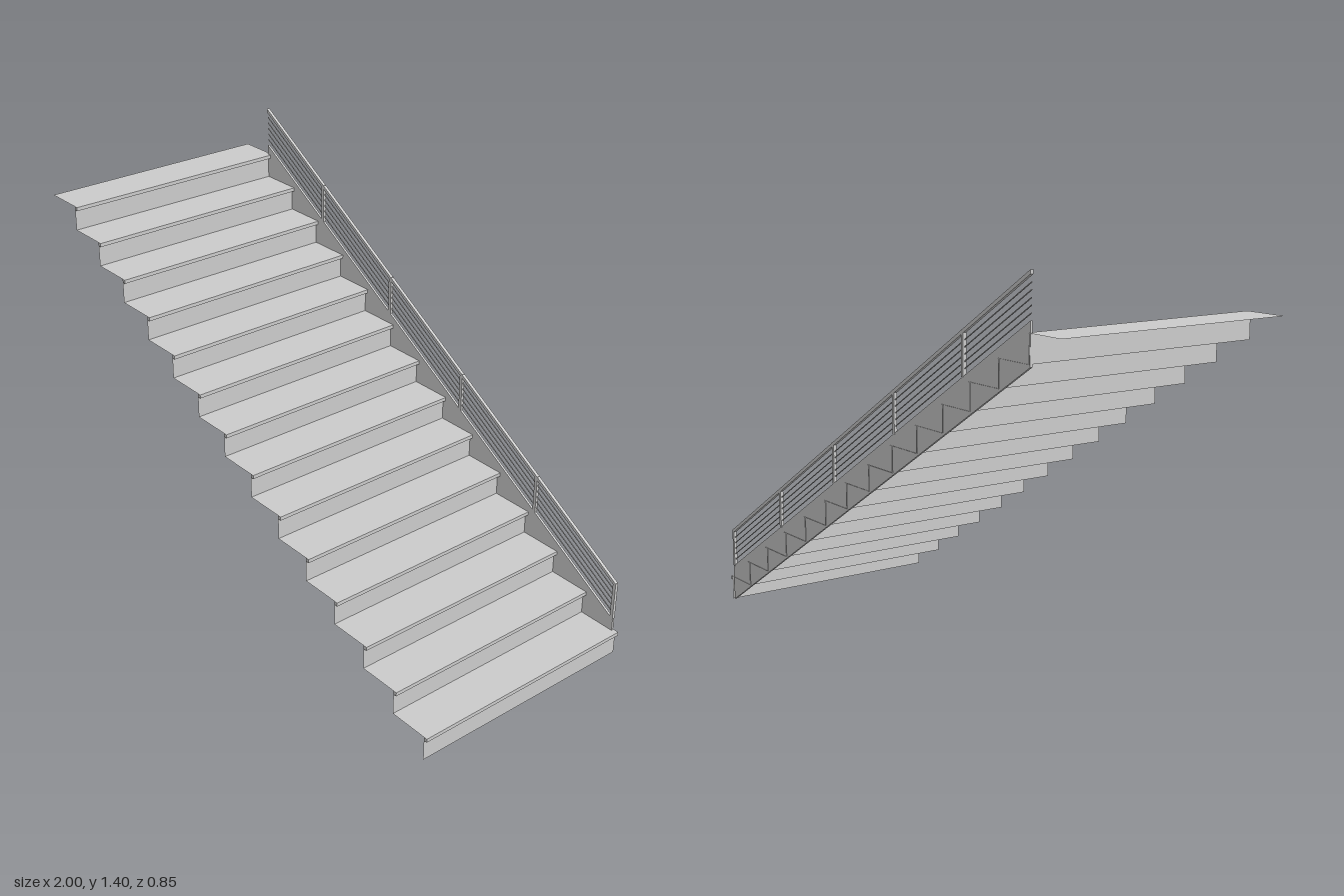
import * as THREE from 'three';

const STEPS = 14, RUN = 0.142, RISE = 1.227 / 14, NOSE = 0.013, HALF = 0.425;
const X0 = -0.861, X1 = 0.979;                 // ends of stringer and railing
const SLOPE = -1.131 / (X1 - X0);
const lineY = (x, offset) => (x - X1) * SLOPE + offset;
const RAIL_Z = -0.419;

export function createModel() {
  const group = new THREE.Group();
  const mat = new THREE.MeshStandardMaterial({ color: 0xcccccc });
  const sheetMat = new THREE.MeshStandardMaterial({ color: 0xcccccc, side: THREE.DoubleSide });

  function add(name, geometry, material = mat) {
    const mesh = new THREE.Mesh(geometry, material);
    mesh.name = name;
    group.add(mesh);
    return mesh;
  }
  function box(name, w, h, d, x, y, z) {
    const mesh = add(name, new THREE.BoxGeometry(w, h, d));
    mesh.position.set(x, y, z);
    return mesh;
  }

  // Slanted bar with vertical ends, offset and height measured vertically
  function slantedBar(name, offset, height, depth) {
    const shape = new THREE.Shape([
      new THREE.Vector2(X0, lineY(X0, offset)),
      new THREE.Vector2(X1, lineY(X1, offset)),
      new THREE.Vector2(X1, lineY(X1, offset + height)),
      new THREE.Vector2(X0, lineY(X0, offset + height)),
    ]);
    const geo = new THREE.ExtrudeGeometry(shape, { depth, bevelEnabled: false });
    geo.translate(0, 0, RAIL_Z - depth / 2);
    return add(name, geo);
  }

  // Thin folded steps: riser and tread sheets with a small nosing on each edge
  for (let i = 0; i < STEPS; i++) {
    const nose = 1 - i * RUN, top = (i + 1) * RISE;
    const riserX = nose - NOSE;

    const riser = new THREE.PlaneGeometry(2 * HALF, RISE);
    riser.rotateY(Math.PI / 2);
    riser.translate(riserX, top - RISE / 2, 0);
    add('riser', riser, sheetMat);

    const tread = new THREE.PlaneGeometry(RUN, 2 * HALF);
    tread.rotateX(-Math.PI / 2);
    tread.translate(riserX - RUN / 2, top, 0);
    add('tread', tread, sheetMat);

    box('nosing', NOSE, NOSE, 2 * HALF, nose - NOSE / 2, top - NOSE / 2, 0);
  }

  // Stringer along the back side
  slantedBar('stringer', 0, 0.131, 0.008);

  // Handrail and the wires below it
  slantedBar('handrail', 0.259, 0.013, 0.011);
  const WIRES = 5;
  for (let i = 1; i <= WIRES; i++) {
    slantedBar('railWire', 0.131 + (0.128 * i) / (WIRES + 1) - 0.0015, 0.003, 0.003);
  }

  // Railing posts
  for (const x of [-0.535, -0.157, 0.221, 0.599, 0.973]) {
    box('railPost', 0.012, 0.14, 0.011, x, lineY(x, 0.2), RAIL_Z);
  }

  return group;
}
